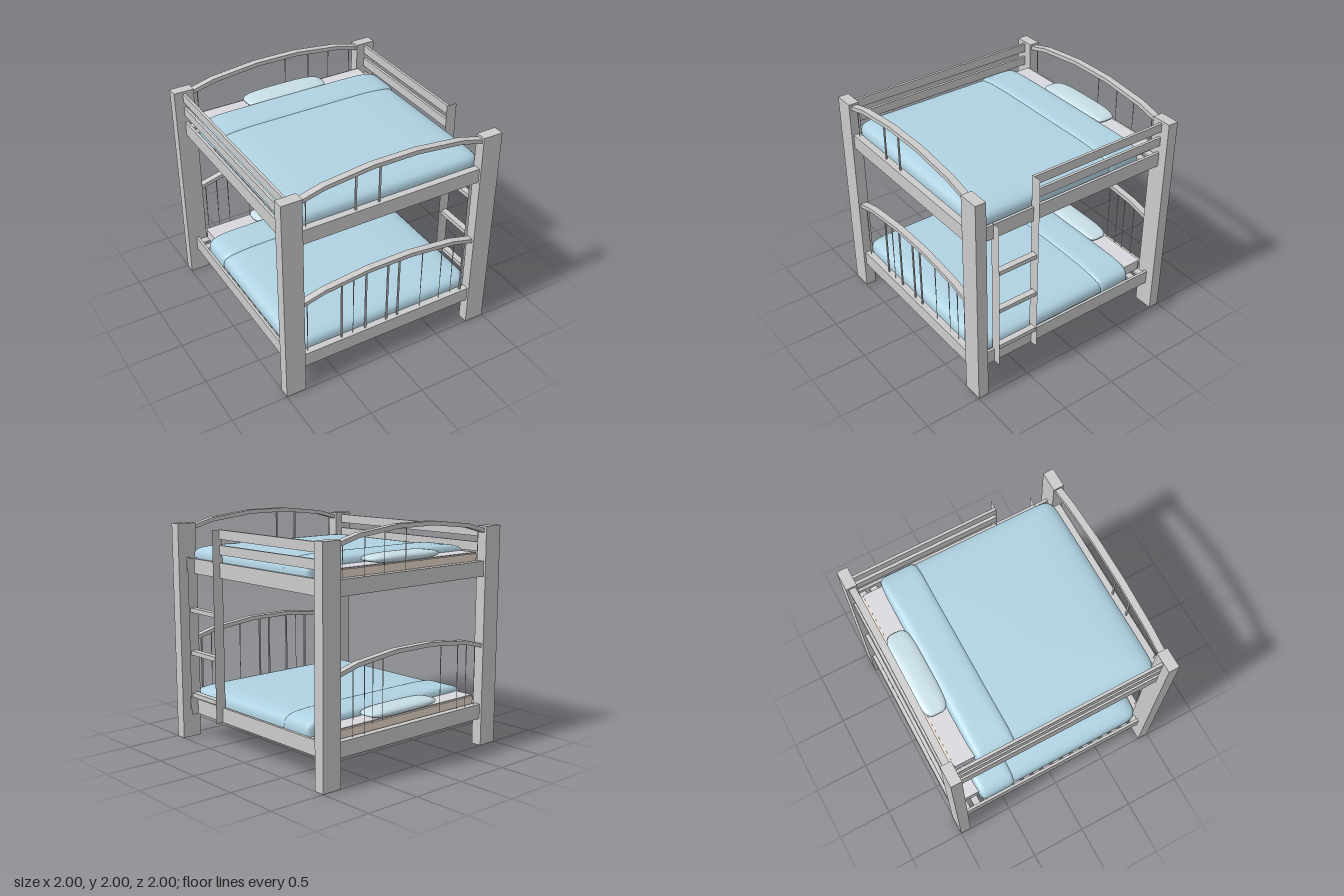
import * as THREE from 'three';
import { mergeVertices } from 'three/addons/utils/BufferGeometryUtils.js';

const paint = (color) => new THREE.MeshStandardMaterial({ color });
const frame = paint(0xcccccc), blanketBlue = paint(0xb0d2e2), pillowBlue = paint(0xc8dee6);
const sheetGrey = paint(0xd8d8de), mattressTan = paint(0xeadccd);
const thinFrame = new THREE.MeshStandardMaterial({ color: 0xcccccc, side: THREE.DoubleSide });

function add(parent, name, geometry, material = frame) {
  const mesh = new THREE.Mesh(geometry, material);
  mesh.name = name;
  parent.add(mesh);
  return mesh;
}

// Box given by its lower and upper limits on each axis
function block(parent, name, x0, x1, y0, y1, z0, z1, material) {
  const mesh = add(parent, name, new THREE.BoxGeometry(x1 - x0, y1 - y0, z1 - z0), material);
  mesh.position.set((x0 + x1) / 2, (y0 + y1) / 2, (z0 + z1) / 2);
}

// Soft shape: a divided box pulled onto a superellipsoid, p = plan squareness, q = side squareness.
// An open one keeps only its upper half, as a cover draped over the mattress.
function softShape(parent, name, halfX, midY, halfY, z0, z1, p, q, material, open) {
  let g = new THREE.BoxGeometry(2, 2, 2, 30, 12, 30);
  g.deleteAttribute('uv');
  g.deleteAttribute('normal');
  g = mergeVertices(g);
  const pos = g.attributes.position;
  const ease = (t) => Math.sin(t * Math.PI / 2); // closer spacing near the edges
  for (let i = 0; i < pos.count; i++) {
    const x = ease(pos.getX(i)), y = ease(pos.getY(i)), z = ease(pos.getZ(i));
    const plan = Math.pow(Math.abs(x) ** p + Math.abs(z) ** p, 1 / p);
    const r = Math.pow(plan ** q + Math.abs(y) ** q, -1 / q);
    pos.setXYZ(i, x * r * halfX, y * r * halfY, z * r * (z1 - z0) / 2);
  }
  g.computeVertexNormals();
  if (open) {
    const kept = [];
    for (let i = 0; i < g.index.count; i += 3) {
      const face = [0, 1, 2].map((k) => g.index.getX(i + k));
      if (face.every((v) => pos.getY(v) > -0.001)) kept.push(...face);
    }
    g.setIndex(kept);
    g.clearGroups();
  }
  const mesh = add(parent, name, g, material);
  mesh.position.set(0, midY, (z0 + z1) / 2);
}

// Arched top bar of an end panel
const archPoints = [[-0.83, 0.89], [-0.62, 0.945], [-0.2, 0.991], [0.2, 0.991], [0.62, 0.945], [0.83, 0.89]];
const archHeight = (x) => {
  const i = archPoints.findIndex((q) => q[0] >= x);
  const [a, b] = [archPoints[i - 1], archPoints[i]];
  return a[1] + (b[1] - a[1]) * (x - a[0]) / (b[0] - a[0]);
};
function archGeometry() {
  const half = 0.018;
  const outline = [
    ...archPoints.map(([x, y]) => new THREE.Vector2(x, y + half)),
    ...[...archPoints].reverse().map(([x, y]) => new THREE.Vector2(x, y - half)),
  ];
  const g = new THREE.ExtrudeGeometry(new THREE.Shape(outline), { depth: 0.06, bevelEnabled: false });
  return g.translate(0, 0, -0.03);
}

// End panel: lower rail, arch, flat spindles and needle-thin spindles
function endPanel(parent, name, z, archLift, spindles, needles) {
  const panel = new THREE.Group();
  panel.name = name;
  parent.add(panel);
  block(panel, 'endRail', -0.83, 0.83, 0.24, 0.37, z - 0.03, z + 0.03);
  const arch = add(panel, 'arch', archGeometry());
  arch.position.set(0, archLift, z);
  for (const x of spindles) {
    block(panel, 'spindle', x - 0.008, x + 0.008, 0.36, archHeight(x) + archLift, z - 0.005, z + 0.005);
  }
  for (const x of needles) {
    const top = archHeight(x) + archLift;
    const needle = add(panel, 'thinSpindle', new THREE.CylinderGeometry(0.006, 0.002, top - 0.36, 4));
    needle.position.set(x, (top + 0.36) / 2, z);
  }
}

// One bed: side rails, slats, mattress and bedding
function bed(name, lift) {
  const g = new THREE.Group();
  g.name = name;
  g.position.y = lift;
  for (const s of [-1, 1]) {
    const x = 0.909 * s;
    block(g, 'sideRail', x - 0.012, x + 0.012, 0.24, 0.37, -0.92, 0.92);
  }
  for (let i = 0; i < 18; i++) {
    const z = -0.87 + i * 0.1024;
    block(g, 'slat', -0.897, 0.897, 0.32, 0.34, z - 0.032, z + 0.032);
  }
  block(g, 'mattress', -0.81, 0.81, 0.34, 0.43, -0.905, 0.84, mattressTan);
  block(g, 'sheet', -0.82, 0.82, 0.345, 0.438, -0.885, 0.8, sheetGrey);
  softShape(g, 'blanket', 0.882, 0.355, 0.133, -0.69, 0.917, 18, 5, blanketBlue, true);
  softShape(g, 'foldedBlanket', 0.895, 0.355, 0.15, -0.722, -0.355, 10, 5, blanketBlue, true);
  softShape(g, 'pillow', 0.388, 0.468, 0.041, -0.92, -0.685, 3.8, 2.4, pillowBlue, false);
  return g;
}

export function createModel() {
  const model = new THREE.Group();
  model.name = 'bunkBed';

  // Corner posts
  for (const sx of [-1, 1]) for (const sz of [-1, 1]) {
    const x = 0.91 * sx, z = 0.952 * sz;
    block(model, 'post', x - 0.09, x + 0.09, 0, 1.92, z - 0.048, z + 0.048);
  }

  // Two beds with their end panels
  const lower = bed('lowerBed', 0);
  endPanel(lower, 'footPanel', 0.95, 0, [-0.45, -0.22, -0.01, 0.1, 0.755], [-0.77, -0.34, 0.33, 0.53, 0.65]);
  endPanel(lower, 'headPanel', -0.95, 0, [], [-0.77, -0.66, -0.55, -0.34, 0.33, 0.44, 0.53, 0.65]);
  const upper = bed('upperBed', 1.253);
  const archLift = 0.99 - 1.253;
  endPanel(upper, 'footPanel', 0.95, archLift, [-0.335, -0.12], [-0.77]);
  endPanel(upper, 'headPanel', -0.95, archLift, [], [-0.77, 0.09, 0.325, 0.535, 0.76]);
  model.add(lower, upper);

  // Guard rails, shortened on the left to leave room for the ladder
  for (const [y0, y1] of [[1.69, 1.77], [1.82, 1.9]]) {
    block(model, 'guardRail', -0.921, -0.897, y0, y1, -0.92, 0.92);
    block(model, 'guardRail', 0.897, 0.921, y0, y1, -0.92, 0.403);
  }

  // Ladder with thin plate sides
  const ladder = new THREE.Group();
  ladder.name = 'ladder';
  model.add(ladder);
  for (const [z, top] of [[0.404, 1.9], [0.783, 1.63]]) {
    const side = add(ladder, 'ladderSide', new THREE.PlaneGeometry(0.097, top - 0.24), thinFrame);
    side.position.set(0.942, (top + 0.24) / 2, z);
  }
  for (const y of [0.42, 0.8, 1.18]) {
    block(ladder, 'ladderStep', 0.92, 0.975, y - 0.019, y + 0.019, 0.404, 0.783);
  }
  return model;
}
